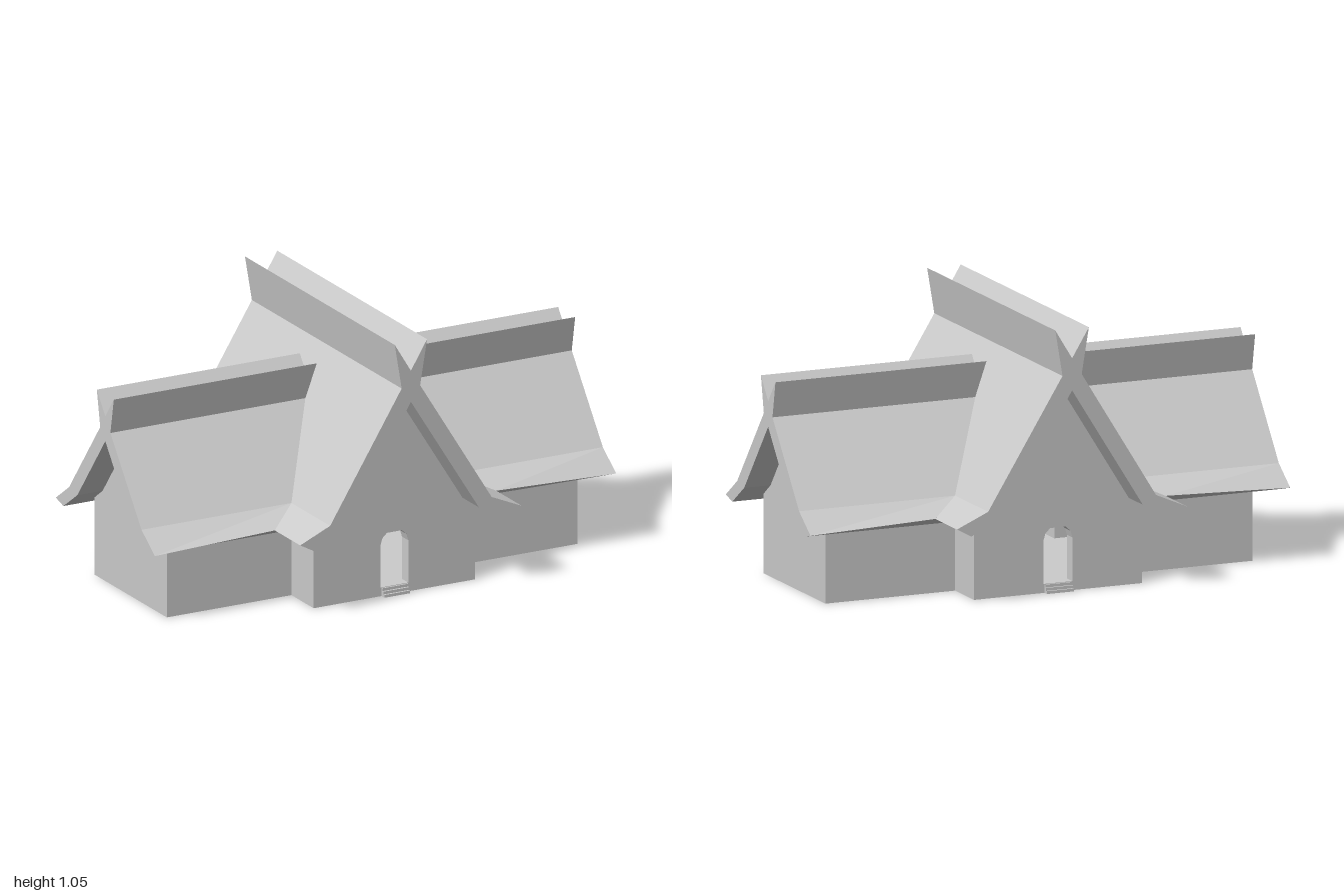
import * as THREE from 'three';

const material = new THREE.MeshStandardMaterial({ color: 0xcccccc, flatShading: true });
const WALL = 0.05, FLOOR = 0.035, WALL_TOP = 0.31;

// Half-sections as [across, height]; the nave runs along z, the transept along x
const nave = {
  name: 'nave', end: 0.59, gableEnd: 0.46, inner: 0.235, halfWidth: 0.35,
  notch: [0, 0.935], tip: [0.07, 1.05], neck: [0.04, 0.87], knee: [0.35, 0.37],
  eaveTip: [0.48, 0.313], eaveBottom: [0.42, 0.28], innerKnee: [0.295, 0.337], apex: [0, 0.81],
  tipDrop: 0, door: true,
  upperStart: () => 0,
  eaveStart: u => 0.285 + (u - 0.35) / 1.24,
};
const transept = {
  name: 'transept', end: 1, gableEnd: 0.89, inner: 0.3, halfWidth: 0.285,
  notch: [0, 0.74], tip: [0.067, 0.827], neck: [0.04, 0.685], knee: [0.285, 0.37],
  eaveTip: [0.39, 0.313], eaveBottom: [0.33, 0.28], innerKnee: [0.22, 0.357], apex: [0, 0.64],
  tipDrop: 0.017, door: false,
  // ends against the nave roof slope
  upperStart: (u, y) => Math.max(0.12, 0.04 + (0.87 - y) * 0.62),
  eaveStart: u => 0.35 + 1.24 * (u - 0.285),
};

const flip = ([x, y]) => [-x, y];
const toShape = pts => new THREE.Shape(pts.map(([x, y]) => new THREE.Vector2(x, y)));

function add(group, name, geometry) {
  const mesh = new THREE.Mesh(geometry, material);
  mesh.name = name;
  group.add(mesh);
  return mesh;
}

function box(group, name, x0, x1, y0, y1, z0, z1) {
  const g = new THREE.BoxGeometry(x1 - x0, y1 - y0, z1 - z0);
  g.translate((x0 + x1) / 2, (y0 + y1) / 2, (z0 + z1) / 2);
  return add(group, name, g);
}

// Sweep a section along z, with a mitred start
function sweep(shape, start, end, endRule = (x, y) => y) {
  const g = new THREE.ExtrudeGeometry(shape, { depth: 1, bevelEnabled: false });
  const p = g.attributes.position;
  for (let i = 0; i < p.count; i++) {
    const x = p.getX(i), y = p.getY(i), far = p.getZ(i) > 0.5;
    p.setXYZ(i, x, far ? endRule(x, y) : y, far ? end : start(Math.abs(x), y));
  }
  g.computeVertexNormals();
  return g;
}

function buildArm(s) {
  const arm = new THREE.Group();
  arm.name = s.name + 'Arm';

  // Steep roof with its forked ridge
  const side = [s.tip, s.neck, s.knee, s.innerKnee];
  const section = [s.notch, ...side, s.apex, ...side.map(flip).reverse()];
  add(arm, 'roof', sweep(toShape(section), s.upperStart, s.end));

  // Flared eaves, mitred at the valleys
  const eave = [s.knee, s.eaveTip, s.eaveBottom, s.innerKnee];
  const lowerTip = (x, y) => Math.abs(x) > s.eaveTip[0] - 0.01 ? y - s.tipDrop : y;
  for (const pts of [eave, eave.map(flip)]) {
    add(arm, 'eave', sweep(toShape(pts), s.eaveStart, s.end, lowerTip));
  }

  // Gable wall, with an arched doorway on the nave
  const w = s.halfWidth;
  const half = [[w, 0], [w, WALL_TOP], s.innerKnee];
  const gable = toShape([...half, s.apex, ...half.map(flip).reverse()]);
  if (s.door) {
    const jamb = [[0.06, FLOOR], [0.06, 0.205], [0.052, 0.232], [0.032, 0.25]];
    gable.holes.push(toShape([...jamb, ...jamb.map(flip).reverse()]));
  }
  add(arm, 'gableWall', sweep(gable, () => s.gableEnd - WALL, s.gableEnd));

  // Side walls and floor
  box(arm, 'sideWall', w - WALL, w, 0, WALL_TOP, s.inner, s.gableEnd - WALL);
  box(arm, 'sideWall', -w, WALL - w, 0, WALL_TOP, s.inner, s.gableEnd - WALL);
  box(arm, 'floor', -w + 0.01, w - 0.01, 0, FLOOR, 0, s.gableEnd - 0.01);

  // Door steps
  if (s.door) {
    for (let i = 0; i < 3; i++) {
      box(arm, 'doorStep', -0.056, 0.056, 0, 0.033 - i * 0.011,
        s.gableEnd - 0.02, s.gableEnd + 0.007 + i * 0.008);
    }
  }
  return arm;
}

export function createModel() {
  const model = new THREE.Group();
  model.name = 'crossGabledHouse';
  for (let k = 0; k < 4; k++) {
    const arm = buildArm(k % 2 ? transept : nave);
    arm.rotation.y = k * Math.PI / 2;
    model.add(arm);
  }
  return model;
}
